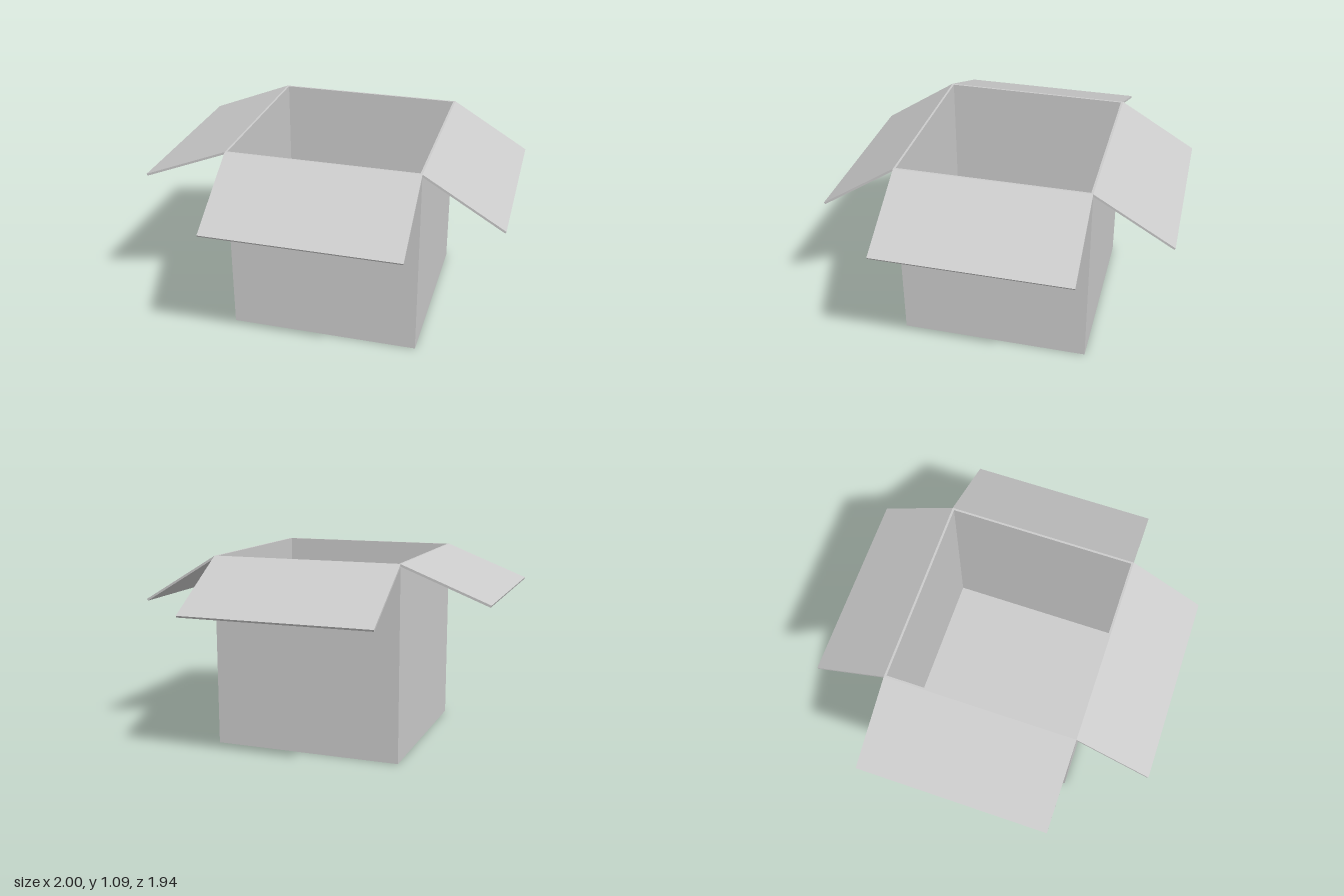
import * as THREE from 'three';

const SIZE = 1.075, HEIGHT = 1.085, T = 0.012;
const HALF = SIZE / 2;

export function createModel() {
  const model = new THREE.Group();
  model.name = 'openCardboardBox';
  const material = new THREE.MeshStandardMaterial({ color: 0xcccccc, flatShading: true });

  const panel = (name, w, h, d, x, y, z) => {
    const geometry = new THREE.BoxGeometry(w, h, d).translate(x, y, z);
    const mesh = new THREE.Mesh(geometry, material);
    mesh.name = name;
    return mesh;
  };

  // Carton sits slightly off centre because the flaps droop unevenly
  const carton = new THREE.Group();
  carton.name = 'carton';
  carton.position.set(0.014, 0, 0.005);
  model.add(carton);

  carton.add(panel('floor', SIZE, T, SIZE, 0, T / 2, 0));

  // Each side: wall plus a flap hinged on the wall's outer top edge
  const sides = [
    { name: 'left', turn: 0, length: 0.52, droop: 31 },
    { name: 'back', turn: Math.PI / 2, length: 0.512, droop: 30.8 },
    { name: 'right', turn: Math.PI, length: 0.513, droop: 21.5 },
    { name: 'front', turn: -Math.PI / 2, length: 0.512, droop: 33 },
  ];
  for (const { name, turn, length, droop } of sides) {
    const side = new THREE.Group();
    side.name = name + 'Side';
    side.rotation.y = turn;

    // Side walls fit between the front and back walls
    const isLateral = name === 'left' || name === 'right';
    const width = isLateral ? SIZE - 2 * T : SIZE;
    side.add(panel(name + 'Wall', T, HEIGHT - T, width, HALF - T / 2, (HEIGHT + T) / 2, 0));

    const flap = panel(name + 'Flap', length, T, SIZE, length / 2, -T / 2, 0);
    flap.position.set(HALF, HEIGHT, 0);
    flap.rotation.z = -THREE.MathUtils.degToRad(droop);
    side.add(flap);
    carton.add(side);
  }
  return model;
}
